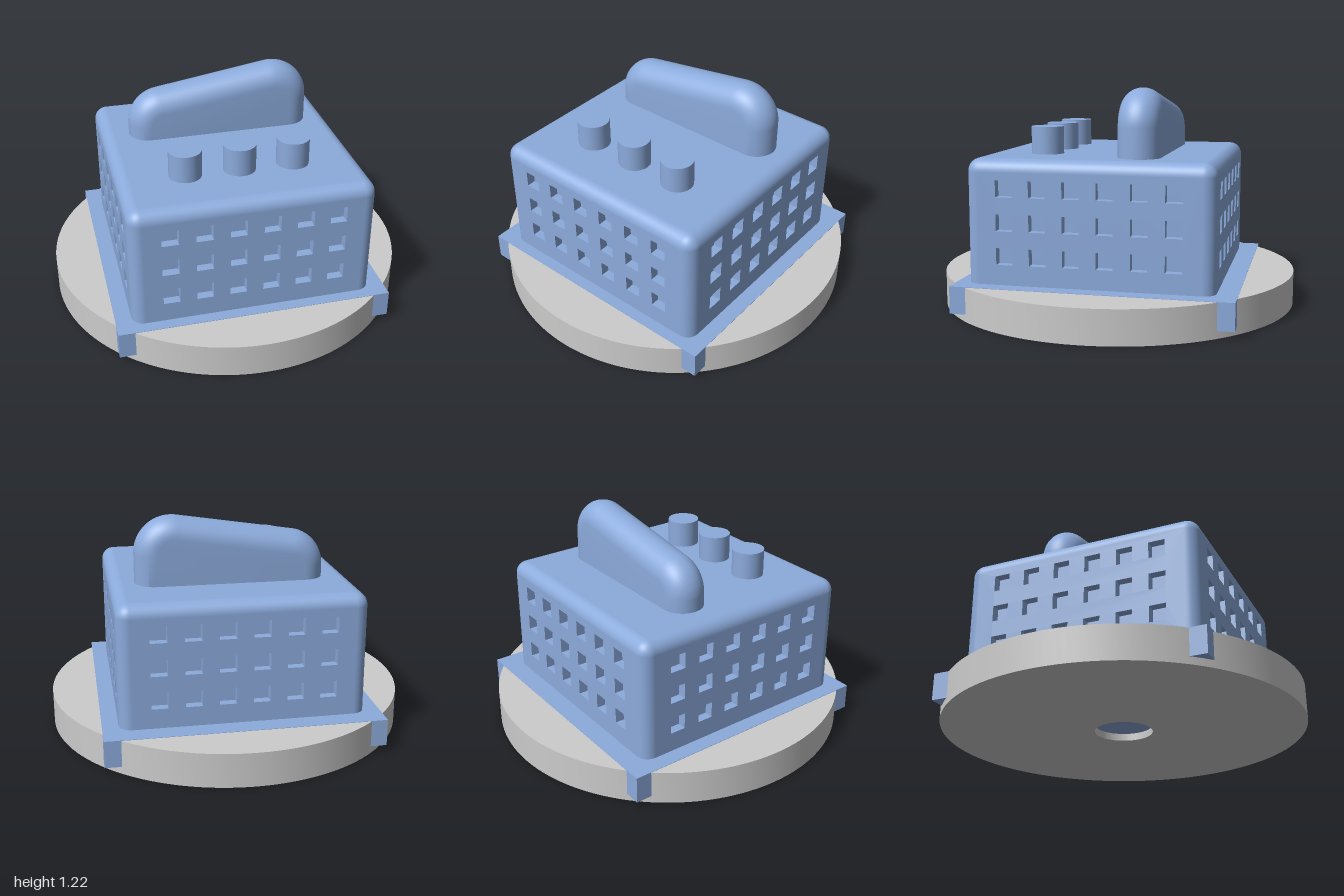
import * as THREE from 'three';
import { toCreasedNormals } from 'three/addons/utils/BufferGeometryUtils.js';
import { RoundedBoxGeometry } from 'three/addons/geometries/RoundedBoxGeometry.js';

const SIZE = 1.325, ROUND = 0.07, TOP = 0.855, CENTRE_Z = 0.0225;
const RECESS = 0.05, WINDOW = 0.09, FLAT = SIZE / 2 - ROUND;

// Rounded shell without its four flat walls, which the window panels fill
function shellGeometry(height) {
  const box = new RoundedBoxGeometry(SIZE, height, SIZE, 6, ROUND);
  const p = box.attributes.position, n = box.attributes.normal;
  const pos = [], nor = [];
  const axisOf = (i) => Math.abs(n.getX(i)) > 0.9999 ? 'x' : Math.abs(n.getZ(i)) > 0.9999 ? 'z' : '';
  for (let i = 0; i < p.count; i += 3) {
    const axis = axisOf(i);
    if (axis && axisOf(i + 1) === axis && axisOf(i + 2) === axis) continue;
    for (let k = i; k < i + 3; k++) {
      pos.push(p.getX(k), p.getY(k), p.getZ(k));
      nor.push(n.getX(k), n.getY(k), n.getZ(k));
    }
  }
  const g = new THREE.BufferGeometry();
  g.setAttribute('position', new THREE.Float32BufferAttribute(pos, 3));
  g.setAttribute('normal', new THREE.Float32BufferAttribute(nor, 3));
  return g;
}

function rectangle(path, x0, y0, x1, y1) {
  return path.moveTo(x0, y0).lineTo(x1, y0).lineTo(x1, y1).lineTo(x0, y1).closePath();
}

// Wall panel pierced by three rows of six windows
function wallGeometry(bottom) {
  const shape = rectangle(new THREE.Shape(), -FLAT, bottom, FLAT, TOP - ROUND);
  const h = WINDOW / 2;
  for (const y of [0.34, 0.52, 0.7]) {
    for (let i = 0; i < 6; i++) {
      const x = (i - 2.5) * 0.18;
      shape.holes.push(rectangle(new THREE.Path(), x - h, y - h, x + h, y + h));
    }
  }
  return new THREE.ExtrudeGeometry(shape, { depth: RECESS, bevelEnabled: false });
}

export function createModel() {
  const model = new THREE.Group();
  model.name = 'buildingOnDisc';
  const grey = new THREE.MeshStandardMaterial({ color: 0xcccccc });
  const blue = new THREE.MeshStandardMaterial({ color: 0x8cabdc });
  const add = (name, geometry, material, x = 0, y = 0, z = 0, parent = model) => {
    const mesh = new THREE.Mesh(geometry, material);
    mesh.name = name;
    mesh.position.set(x, y, z);
    parent.add(mesh);
    return mesh;
  };

  // Round base with a central hole
  const ring = new THREE.Shape().absarc(0, 0, 1, 0, Math.PI * 2);
  ring.holes.push(new THREE.Path().absarc(0, 0, 0.16, 0, Math.PI * 2, true));
  const disc = new THREE.ExtrudeGeometry(ring, { depth: 0.185, bevelEnabled: false, curveSegments: 64 });
  disc.rotateX(-Math.PI / 2);
  add('baseDisc', toCreasedNormals(disc, 0.6), grey);

  // Square plate whose corners stick out of the disc
  add('squarePlate', new THREE.BoxGeometry(1.5, 0.147, 1.5), blue, 0, 0.1135, 0);

  // Building: rounded shell, four window walls and a core behind the windows
  const building = new THREE.Group();
  building.name = 'building';
  building.position.z = CENTRE_Z;
  model.add(building);
  const bottom = 0.1, height = TOP - bottom;
  add('roofAndCorners', shellGeometry(height), blue, 0, bottom + height / 2, 0, building);
  const wall = wallGeometry(bottom + ROUND);
  for (let i = 0; i < 4; i++) {
    const a = i * Math.PI / 2, d = SIZE / 2 - RECESS;
    add('windowWall', wall, blue, Math.sin(a) * d, 0, Math.cos(a) * d, building).rotation.y = a;
  }
  const inner = SIZE - 2 * RECESS;
  add('windowBacks', new THREE.BoxGeometry(inner, 0.63, inner), blue, 0, 0.475, 0, building);

  // Sloping roof fin: an inset outline rounded out by a full bevel
  const r = 0.115, slope = 0.157, up = Math.PI / 2 + Math.atan(slope);
  const outline = new THREE.Shape();
  outline.moveTo(-0.51 + r, 0.74).lineTo(0.53 - r, 0.74);
  outline.absarc(0.325, 1.015, 0.205 - r, 0, up);
  outline.absarc(-0.315, 0.925, 0.195 - r, up, Math.PI);
  outline.closePath();
  const fin = new THREE.ExtrudeGeometry(outline, {
    depth: 0.002, bevelThickness: r - 0.001, bevelSize: r, bevelSegments: 12, curveSegments: 16,
  });
  add('roofFin', toCreasedNormals(fin, 0.6), blue, 0, 0, -0.201);

  // Three chimneys along the front of the roof
  const chimney = new THREE.CylinderGeometry(0.089, 0.089, 0.17, 48);
  for (const x of [-0.296, 0, 0.296]) add('chimney', chimney, blue, x, 0.92, 0.34);

  return model;
}
